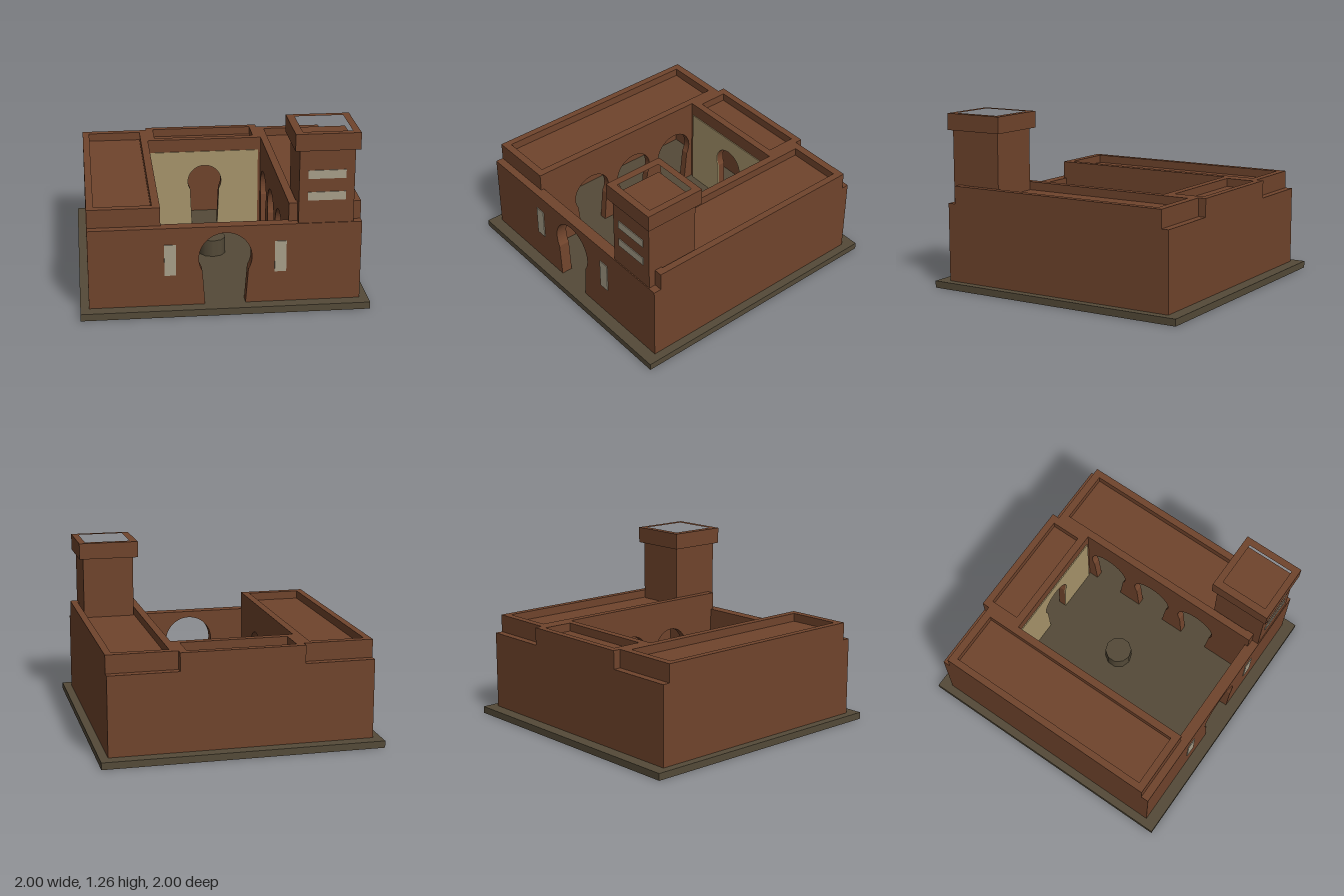
import * as THREE from 'three';

const mat = (name, color) => new THREE.MeshStandardMaterial({ name, color });

export function createModel() {
  const clay = mat('clay brown', 0x70442c);
  const stone = mat('dark paving', 0x544a38);
  const cream = mat('cream plaster', 0xa7946b);
  const pale = mat('pale lattice', 0xa89f8a);
  const model = new THREE.Group();
  model.name = 'courtyardHouse';

  const add = (name, geo, material, parent = model) => {
    const mesh = new THREE.Mesh(geo, material);
    mesh.name = name;
    parent.add(mesh);
    return mesh;
  };
  // Box given by its extents on each axis
  const box = (name, x0, x1, y0, y1, z0, z1, material = clay, parent = model) => {
    const mesh = add(name, new THREE.BoxGeometry(x1 - x0, y1 - y0, z1 - z0), material, parent);
    mesh.position.set((x0 + x1) / 2, (y0 + y1) / 2, (z0 + z1) / 2);
    return mesh;
  };
  // Wall panel with horseshoe arches cut up from the floor
  const archWall = (halfWidth, top, depth, centers, { foot, r, cy }) => {
    const floor = 0.05, dip = Math.PI / 6;
    const s = new THREE.Shape();
    s.moveTo(-halfWidth, floor);
    for (const c of centers) {
      s.lineTo(c - foot, floor);
      s.lineTo(c - r * Math.cos(dip), cy - r * Math.sin(dip));
      s.absarc(c, cy, r, Math.PI + dip, -dip, true);
      s.lineTo(c + foot, floor);
    }
    s.lineTo(halfWidth, floor);
    s.lineTo(halfWidth, top);
    s.lineTo(-halfWidth, top);
    return new THREE.ExtrudeGeometry(s, { depth, bevelEnabled: false, curveSegments: 20 });
  };

  // Paved base and central fountain
  box('base', -1, 1, 0, 0.05, -1, 1, stone);
  add('fountain', new THREE.CylinderGeometry(0.1, 0.1, 0.125, 10), stone).position.y = 0.1125;

  // Front wall with the entrance arch and its two windows
  const front = archWall(0.94, 0.62, 0.082, [0], { foot: 0.14, r: 0.183, cy: 0.39 });
  add('frontWall', front, clay).position.z = 0.83;
  for (const x of [-0.38, 0.38])
    box('frontWindow', x - 0.04, x + 0.04, 0.275, 0.5, 0.911, 0.918, pale);

  // Side wings: arcaded inner wall, outer walls and sunken roof
  for (const s of [-1, 1]) {
    const wing = new THREE.Group();
    wing.name = s > 0 ? 'leftWing' : 'rightWing';
    model.add(wing);
    const part = (name, a, b, ...rest) =>
      box(name, Math.min(s * a, s * b), Math.max(s * a, s * b), ...rest, clay, wing);
    part('outerWall', 0.89, 0.94, 0.05, 0.75, -0.855, 0.855);
    part('backEndWall', 0.495, 0.89, 0.05, 0.75, -0.855, -0.8);
    part('frontEndWall', 0.495, 0.89, 0.05, 0.75, 0.8, 0.855);
    part('backLedge', 0.44, 0.94, 0.05, 0.62, -0.91, -0.855);
    part('roof', 0.495, 0.89, 0.64, 0.69, -0.8, 0.8);
    const arcade = archWall(0.855, 0.75, 0.055, [-0.4, 0, 0.4], { foot: 0.11, r: 0.155, cy: 0.37 });
    arcade.rotateY(-Math.PI / 2);
    add('arcade', arcade, clay, wing).position.x = s > 0 ? 0.495 : -0.44;
  }

  // Back wing with a plastered arch facing the courtyard
  const backArch = { foot: 0.1, r: 0.13, cy: 0.405 };
  box('backWall', -0.44, 0.44, 0.05, 0.75, -0.91, -0.86);
  for (const x of [-0.4125, 0.4125])
    box('backSideWall', x - 0.0275, x + 0.0275, 0.05, 0.75, -0.86, -0.64);
  box('backRoof', -0.385, 0.385, 0.64, 0.69, -0.86, -0.64);
  add('backArchWall', archWall(0.44, 0.75, 0.055, [0], backArch), clay).position.z = -0.64;
  add('archPanel', archWall(0.42, 0.65, 0.007, [0], backArch), cream).position.z = -0.585;

  // Tower with an overhanging open-topped cap and lattice bands
  box('towerShaft', 0.5, 0.88, 0.6, 1.18, 0.51, 0.905);
  const rim = new THREE.Shape([[0.465, 0.48], [0.91, 0.48], [0.91, 0.93], [0.465, 0.93]]
    .map(([x, z]) => new THREE.Vector2(x, -z)));
  rim.holes.push(new THREE.Path([[0.52, 0.53], [0.86, 0.53], [0.86, 0.88], [0.52, 0.88]]
    .map(([x, z]) => new THREE.Vector2(x, -z))));
  const cap = new THREE.ExtrudeGeometry(rim, { depth: 0.12, bevelEnabled: false });
  cap.rotateX(-Math.PI / 2);
  add('towerCap', cap, clay).position.y = 1.145;
  for (const y of [0.785, 0.94])
    box('towerWindow', 0.56, 0.82, y, y + 0.06, 0.903, 0.911, pale);

  return model;
}
